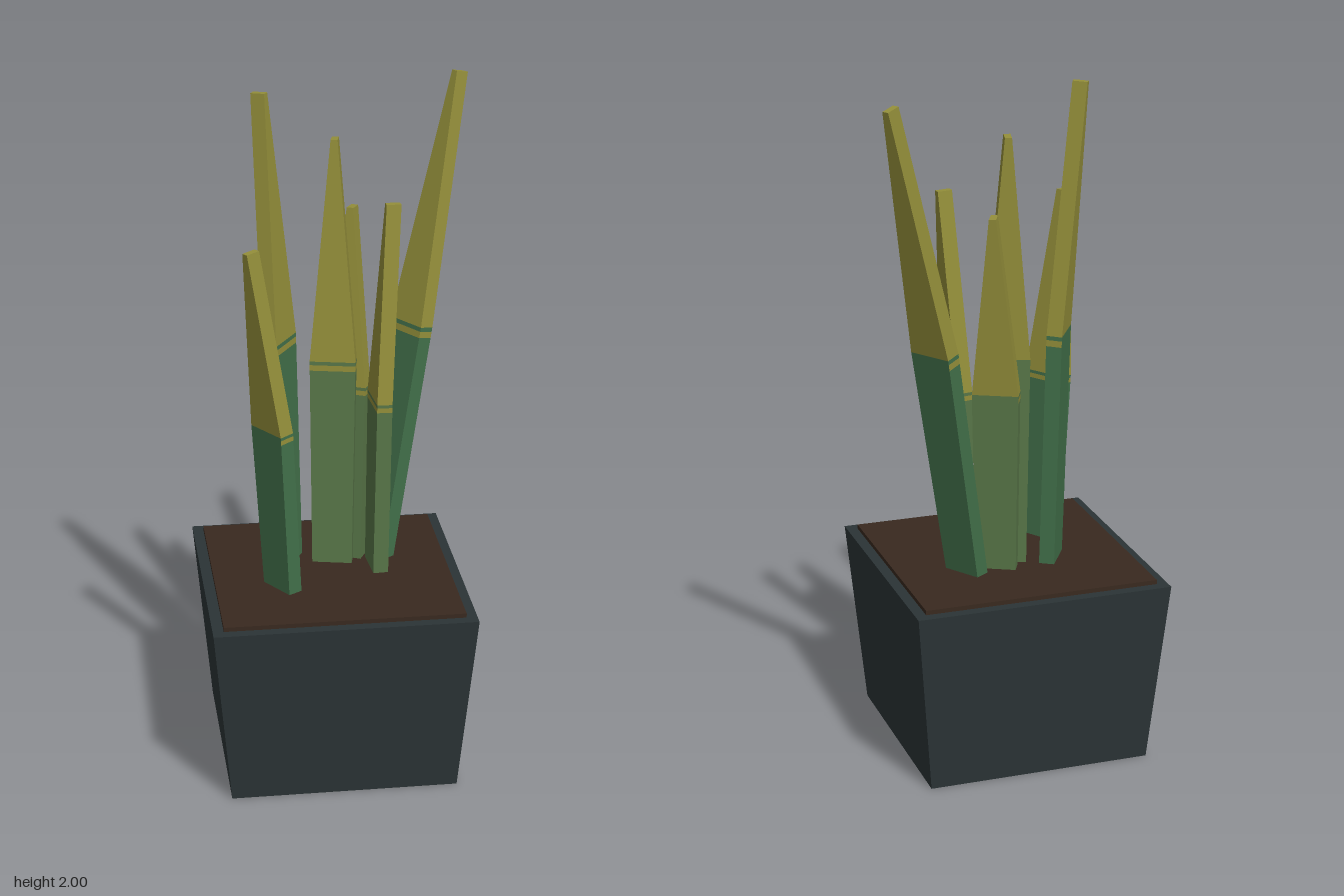
import * as THREE from 'three';

const material = (color, side = THREE.FrontSide) =>
  new THREE.MeshStandardMaterial({ color, side, flatShading: true });

const POT_X = -0.03, POT_TOP = 0.555;
const INNER = 0, OUTER = 2, TIP = 4; // leaf faces; 1 and 3 are the narrow edges

// Rectangular cross-section of a leaf: c = centre, lean = unit [x, z] direction
// of the thickness, slope tilts it square to the leaning leaf.
function section(c, width, thick, lean, slope) {
  const t = new THREE.Vector3(lean[0], -slope, lean[1]).multiplyScalar(thick / 2);
  const w = new THREE.Vector3(-lean[1], 0, lean[0]).multiplyScalar(width / 2);
  return [[-1, -1], [1, -1], [1, 1], [-1, 1]].map(([a, b]) =>
    c.clone().addScaledVector(w, a).addScaledVector(t, b));
}

// Chosen faces between two four-cornered sections.
function strip(lower, upper, faces) {
  const points = [];
  const quad = (a, b, c, d) => points.push(a, b, c, a, c, d);
  for (const i of faces) {
    const j = (i + 1) % 4;
    if (i === TIP) quad(...upper);
    else quad(lower[i], lower[j], upper[j], upper[i]);
  }
  const geometry = new THREE.BufferGeometry().setFromPoints(points);
  geometry.computeVertexNormals();
  return geometry;
}

// A leaf: green lower blade, a thin yellow stripe on all but the outer face,
// then a tapering yellow upper blade.
function createLeaf({ base, mid, tip, lean, green }, yellow) {
  const leaf = new THREE.Group();
  leaf.name = 'leaf';
  const [b, m, t] = [base, mid, tip].map((p) => new THREE.Vector3(...p));
  const length = Math.hypot(...lean);
  const dir = lean.map((v) => v / length);
  const slope = Math.hypot(t.x - b.x, t.z - b.z) / (t.y - b.y);
  const at = (f) => section(b.clone().lerp(m, f), 0.118 + 0.016 * f, 0.045, dir, slope);
  const levels = [at(0), at(0.957), at(0.983), at(1), section(t, 0.02, 0.043, dir, slope)];
  const around = [INNER, 1, OUTER, 3];
  const add = (name, level, faces, mat) => {
    const mesh = new THREE.Mesh(strip(levels[level], levels[level + 1], faces), mat);
    mesh.name = name;
    leaf.add(mesh);
  };
  add('lowerBlade', 0, around, green);
  add('stripe', 1, [INNER, 1, 3], yellow);
  add('stripeBack', 1, [OUTER], green);
  add('bladeEdge', 2, around, green);
  add('upperBlade', 3, [...around, TIP], yellow);
  return leaf;
}

// Tapered square pot, open underneath, with a flat rim.
function createPot() {
  const pot = new THREE.Group();
  pot.name = 'pot';
  const mat = material(0x2b3436, THREE.DoubleSide);
  const walls = new THREE.CylinderGeometry(0.382 * Math.SQRT2, 0.333 * Math.SQRT2, POT_TOP, 4, 1, true);
  walls.rotateY(Math.PI / 4);
  const wallMesh = new THREE.Mesh(walls, mat);
  wallMesh.name = 'potWalls';
  wallMesh.position.set(POT_X, POT_TOP / 2, 0);

  const square = (path, h) => path.moveTo(-h, -h).lineTo(h, -h).lineTo(h, h).lineTo(-h, h).closePath();
  const rim = square(new THREE.Shape(), 0.382);
  rim.holes.push(square(new THREE.Path(), 0.348));
  const rimMesh = new THREE.Mesh(new THREE.ShapeGeometry(rim).rotateX(-Math.PI / 2), mat);
  rimMesh.name = 'potRim';
  rimMesh.position.set(POT_X, POT_TOP, 0);
  pot.add(wallMesh, rimMesh);
  return pot;
}

export function createModel() {
  const plant = new THREE.Group();
  plant.name = 'pottedPlant';
  plant.add(createPot());

  const soil = new THREE.Mesh(new THREE.BoxGeometry(0.7, 0.016, 0.7), material(0x39291f));
  soil.name = 'soil';
  soil.position.set(POT_X, POT_TOP + 0.005, 0);
  plant.add(soil);

  // Points up the middle of each leaf, and the [x, z] way it leans
  const dark = material(0x42704a), light = material(0x587648), yellow = material(0x948f3a);
  const leaves = [
    { base: [0.115, 0.55, -0.1], mid: [0.236, 1.27, -0.183], tip: [0.388, 1.995, -0.293], lean: [0.84, -0.54], green: dark },
    { base: [-0.015, 0.55, -0.062], mid: [-0.01, 1.2, -0.082], tip: [0, 1.857, -0.12], lean: [0.22, -0.97], green: light },
    { base: [-0.183, 0.55, 0.102], mid: [-0.212, 1.075, 0.119], tip: [-0.27, 1.62, 0.157], lean: [-0.84, 0.54], green: dark },
    { base: [-0.15, 0.55, -0.08], mid: [-0.167, 1.27, -0.09], tip: [-0.215, 1.997, -0.118], lean: [-0.85, -0.52], green: dark },
    { base: [0.025, 0.55, -0.1], mid: [0.033, 1.11, -0.119], tip: [0.057, 1.64, -0.165], lean: [0.45, -0.89], green: light },
    { base: [0.11, 0.55, -0.01], mid: [0.118, 1.105, -0.011], tip: [0.153, 1.69, -0.013], lean: [1, -0.07], green: light },
  ];
  leaves.forEach((spec) => plant.add(createLeaf(spec, yellow)));
  return plant;
}
